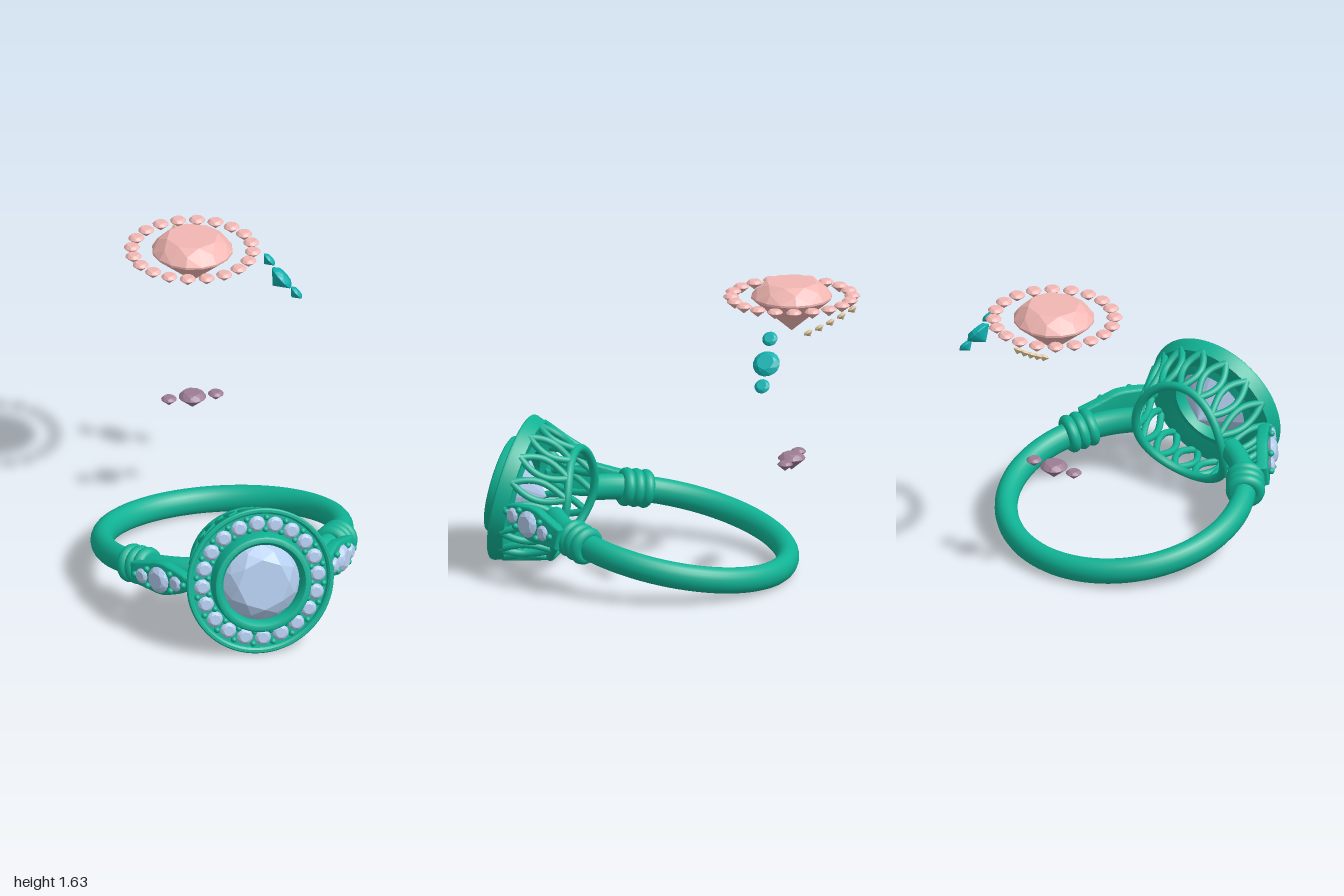
import * as THREE from 'three';
import { toCreasedNormals } from 'three/addons/utils/BufferGeometryUtils.js';
import { ConvexGeometry } from 'three/addons/geometries/ConvexGeometry.js';

const material = (color, flatShading = false) => new THREE.MeshStandardMaterial({ color, flatShading });
const metal = material(0x10b395);
const ice = material(0xb2cbec, true), pink = material(0xf2b6b2, true), cyan = material(0x12b2b2, true);
const tan = material(0xe6cba0, true), mauve = material(0x9d7d94, true);
const V = (x, y, z) => new THREE.Vector3(x, y, z);
const TAU = Math.PI * 2;

function add(parent, name, geometry, mat = metal) {
  const mesh = new THREE.Mesh(geometry, mat);
  mesh.name = name;
  parent.add(mesh);
  return mesh;
}

// Round brilliant of radius 1, girdle at y = 0, table facing +y
function brilliant() {
  const points = [V(0, -0.88, 0)];
  const ring = (n, r, y, turn) => {
    for (let i = 0; i < n; i++) {
      const a = (i + turn) / n * TAU;
      points.push(V(Math.cos(a) * r, y, Math.sin(a) * r));
    }
  };
  ring(8, 0.64, 0.37, 0);
  ring(8, 0.85, 0.22, 0.5);
  ring(16, 1, 0.02, 0);
  ring(16, 1, -0.03, 0);
  return new ConvexGeometry(points);
}
const gemGeometry = brilliant();

function gem(parent, name, mat, r, position, facing) {
  const stone = add(parent, name, gemGeometry, mat);
  stone.scale.setScalar(r);
  stone.position.copy(position);
  stone.quaternion.setFromUnitVectors(V(0, 1, 0), facing.clone().normalize());
}

// Closed counter-clockwise profile of [radius, z] turned about the z axis
function turned(profile) {
  const pts = [...profile, profile[0]].map(([r, z]) => new THREE.Vector2(r, z));
  return toCreasedNormals(new THREE.LatheGeometry(pts, 72).rotateX(Math.PI / 2), 0.6);
}

// Pierced wall of the head: a cone whose back edge follows the finger opening
const wallRadius = z => 0.292 + 0.305 * (z - 0.567);
const backEdge = a => Math.sqrt(0.585 ** 2 - (0.29 * Math.cos(a)) ** 2);
function wallPoint(a, v) {
  const z = THREE.MathUtils.lerp(backEdge(a), 0.815, v), r = wallRadius(z);
  return V(Math.cos(a) * r, Math.sin(a) * r, z);
}

function buildHead() {
  const head = new THREE.Group();
  head.name = 'head';
  add(head, 'haloRim', turned([[0.373, 0.797], [0.395, 0.86], [0.395, 0.872], [0.389, 0.878], [0.376, 0.878],
    [0.366, 0.87], [0.362, 0.848], [0.25, 0.848], [0.25, 0.815], [0.345, 0.797]]));
  add(head, 'bezel', turned([[0.215, 0.8], [0.262, 0.815], [0.262, 0.93], [0.256, 0.942], [0.246, 0.947],
    [0.228, 0.945], [0.212, 0.925], [0.206, 0.9], [0.206, 0.84]]));
  gem(head, 'centreStone', ice, 0.214, V(0, 0, 0.875), V(0, 0, 1));

  // Halo stones and the paired beads between them
  const bead = new THREE.SphereGeometry(0.016, 12, 8);
  for (let i = 0; i < 20; i++) {
    const a = i / 20 * TAU + Math.PI / 2, b = a + TAU / 40;
    gem(head, 'haloStone', ice, 0.043, V(Math.cos(a) * 0.311, Math.sin(a) * 0.311, 0.862), V(0, 0, 1));
    for (const r of [0.28, 0.344]) {
      add(head, 'haloBead', bead).position.set(Math.cos(b) * r, Math.sin(b) * r, 0.862);
    }
  }

  // Back ring and pointed oval openwork
  const edge = [];
  for (let i = 0; i < 48; i++) edge.push(wallPoint(i / 48 * TAU, 0));
  add(head, 'backRing', new THREE.TubeGeometry(new THREE.CatmullRomCurve3(edge, true), 96, 0.023, 10, true));
  for (let i = 0; i < 16; i++) {
    for (const side of [-1, 1]) {
      const path = [];
      for (let k = 0; k <= 8; k++) {
        path.push(wallPoint(i / 16 * TAU + side * 0.15 * Math.sin(Math.PI * k / 8), k / 8));
      }
      add(head, 'ovalStrut', new THREE.TubeGeometry(new THREE.CatmullRomCurve3(path), 20, 0.019, 8));
    }
  }
  return head;
}

function buildShoulder() {
  const shoulder = new THREE.Group();
  shoulder.name = 'shoulder';

  // Ridged collar around the band
  const alpha = 0.585;
  const collar = new THREE.Group();
  collar.name = 'collar';
  collar.position.set(0.632 * Math.cos(alpha), 0, 0.632 * Math.sin(alpha));
  collar.rotation.y = -alpha;
  for (const z of [-0.053, 0, 0.053]) {
    const ridge = add(collar, 'collarRidge', new THREE.TorusGeometry(0.071, 0.032, 12, 40));
    ridge.position.z = z;
  }
  shoulder.add(collar);

  // Leaf-shaped arm from the collar to the halo rim
  const leaf = new THREE.Shape();
  leaf.moveTo(0.21, -0.045);
  leaf.quadraticCurveTo(0.11, -0.06, 0.06, -0.07);
  leaf.quadraticCurveTo(0, -0.085, -0.06, -0.065);
  leaf.quadraticCurveTo(-0.15, -0.045, -0.2, -0.015);
  leaf.lineTo(-0.2, 0.015);
  leaf.quadraticCurveTo(-0.15, 0.045, -0.06, 0.065);
  leaf.quadraticCurveTo(0, 0.085, 0.06, 0.07);
  leaf.quadraticCurveTo(0.11, 0.06, 0.21, 0.045);
  const leafGeometry = new THREE.ExtrudeGeometry(leaf, {
    depth: 0.035, bevelSize: 0.012, bevelThickness: 0.012, bevelSegments: 3, curveSegments: 8,
  });
  const arm = new THREE.Group();
  arm.name = 'arm';
  arm.position.set(0.49, 0, 0.645);
  arm.rotation.y = Math.atan2(0.84, 0.54);
  add(arm, 'armPlate', toCreasedNormals(leafGeometry, 0.6)).position.z = -0.055;
  for (const [x, r] of [[-0.122, 0.041], [0, 0.071], [0.122, 0.041]]) {
    gem(arm, 'armStone', ice, r, V(x, 0, 0.008), V(0, 0, 1));
  }
  const bead = new THREE.SphereGeometry(0.017, 12, 8);
  for (const x of [-0.083, 0.083]) {
    for (const y of [-0.045, 0.045]) add(arm, 'armBead', bead).position.set(x, y, 0.008);
  }
  for (const x of [-0.175, 0.175]) add(arm, 'armBead', bead).position.set(x, 0, 0.005);
  shoulder.add(arm);
  return shoulder;
}

function buildRing() {
  const ring = new THREE.Group();
  ring.name = 'ring';
  const start = THREE.MathUtils.degToRad(118), arc = THREE.MathUtils.degToRad(304);
  const band = new THREE.TorusGeometry(0.63, 0.06, 20, 120, arc).rotateZ(start).rotateX(Math.PI / 2).scale(1, 1.17, 1);
  add(ring, 'band', band);
  ring.add(buildHead());
  for (const turn of [0, Math.PI]) {
    const shoulder = buildShoulder();
    shoulder.rotation.z = turn;
    ring.add(shoulder);
  }
  ring.position.set(0, 0.21, 0.02);
  ring.rotation.x = -0.215;
  return ring;
}

function buildLooseStones() {
  const loose = new THREE.Group();
  loose.name = 'looseStones';
  const up = V(0, 1, 0), z0 = -0.643;

  // Centre stone with its circle of small stones
  gem(loose, 'looseCentreStone', pink, 0.213, V(0, 1.56, z0), up);
  for (let i = 0; i < 20; i++) {
    const a = i / 20 * TAU;
    gem(loose, 'looseHaloStone', pink, 0.042, V(Math.cos(a) * 0.317, 1.559, z0 + Math.sin(a) * 0.317), up);
  }

  // Tilted trio and level trio
  const tilt = V(0.76, 0.65, 0);
  gem(loose, 'tiltedStone', cyan, 0.041, V(0.414, 1.443, z0), tilt);
  gem(loose, 'tiltedStone', cyan, 0.072, V(0.48, 1.325, z0), tilt);
  gem(loose, 'tiltedStone', cyan, 0.041, V(0.56, 1.225, z0), tilt);
  for (const [x, r] of [[-0.126, 0.041], [0, 0.072], [0.126, 0.041]]) {
    gem(loose, 'levelStone', mauve, r, V(x, 0.677, z0), up);
  }

  // Rising row of five tiny stones
  for (let i = 0; i < 5; i++) {
    const z = -0.733 - i * 0.06, y = 1.367 + i * 0.031 + i * i * 0.0015;
    gem(loose, 'rowStone', tan, 0.026, V(0, y, z), V(0, 0.85, 0.53));
  }
  return loose;
}

export function createModel() {
  const model = new THREE.Group();
  model.name = 'ringWithLooseStones';
  model.add(buildRing(), buildLooseStones());
  return model;
}
